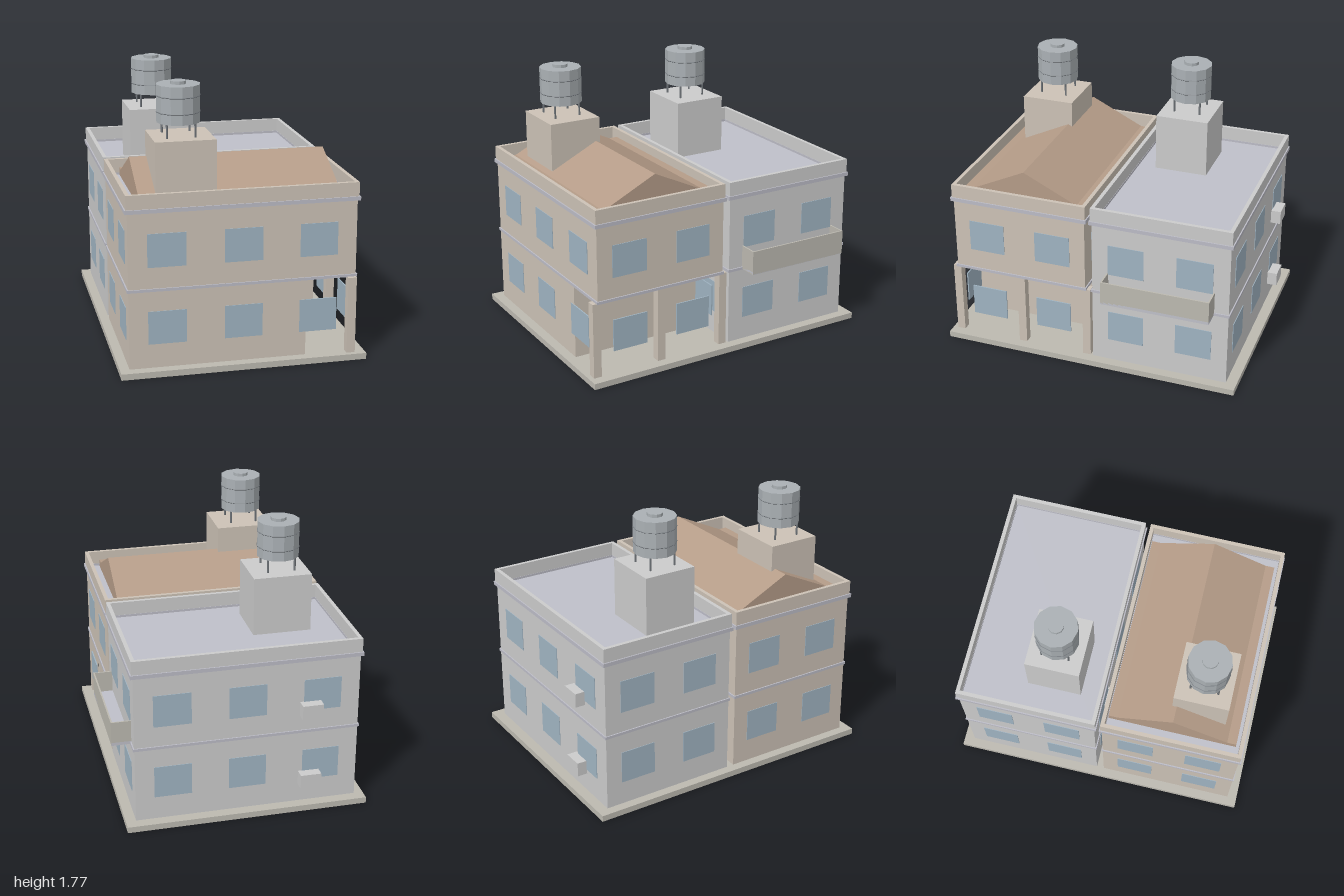
import * as THREE from 'three';

const mat = (color) => new THREE.MeshStandardMaterial({ color, flatShading: true });
const M = {
  base: mat(0xbcb9b0), beige: mat(0xccc2b6), grey: mat(0xcccccc), trim: mat(0xbcbcc6), deck: mat(0xbfc0c9),
  tile: mat(0xb59c88), glass: mat(0xa0b4c2), tank: mat(0xaab0b4), metal: mat(0x70757a),
};

// Box given by its limits on each axis
function box(parent, name, m, x0, x1, y0, y1, z0, z1) {
  const mesh = new THREE.Mesh(new THREE.BoxGeometry(x1 - x0, y1 - y0, z1 - z0), m);
  mesh.position.set((x0 + x1) / 2, (y0 + y1) / 2, (z0 + z1) / 2);
  mesh.name = name;
  parent.add(mesh);
  return mesh;
}

function cylinder(parent, name, m, r, y0, y1, x, z, sides) {
  const mesh = new THREE.Mesh(new THREE.CylinderGeometry(r, r, y1 - y0, sides), m);
  mesh.position.set(x, (y0 + y1) / 2, z);
  mesh.name = name;
  parent.add(mesh);
}

const X0 = -0.755, X1 = 0.685, ROOF = 1.04;

// Rectangular rim of walls, outer limits grown by o
function rim(parent, name, m, y0, y1, z0, z1, o, t) {
  const s = new THREE.Shape([[X0 - o, z0 - o], [X1 + o, z0 - o], [X1 + o, z1 + o], [X0 - o, z1 + o]]
    .map(([x, z]) => new THREE.Vector2(x, -z)));
  const i = t - o;
  s.holes.push(new THREE.Path([[X0 + i, z0 + i], [X0 + i, z1 - i], [X1 - i, z1 - i], [X1 - i, z0 + i]]
    .map(([x, z]) => new THREE.Vector2(x, -z))));
  const g = new THREE.ExtrudeGeometry(s, { depth: y1 - y0, bevelEnabled: false });
  g.rotateX(-Math.PI / 2);
  const mesh = new THREE.Mesh(g, m);
  mesh.position.y = y0;
  mesh.name = name;
  parent.add(mesh);
}

// Water tank on four legs above a stair tower
function waterTower(parent, m, x, z) {
  const g = new THREE.Group();
  g.name = 'waterTower';
  box(g, 'stairTower', m, x - 0.178, x + 0.202, ROOF, 1.43, z - 0.177, z + 0.177);
  for (const sx of [-1, 1]) for (const sz of [-1, 1])
    cylinder(g, 'tankLeg', M.metal, 0.007, 1.43, 1.515, x + sx * 0.088, z + sz * 0.088, 6);
  cylinder(g, 'tank', M.tank, 0.137, 1.515, 1.75, x, z, 12);
  cylinder(g, 'tankLid', M.tank, 0.05, 1.75, 1.77, x, z, 10);
  for (const y of [1.58, 1.68]) {
    const hoop = new THREE.Mesh(new THREE.TorusGeometry(0.136, 0.004, 4, 12), M.metal);
    hoop.rotation.x = Math.PI / 2;
    hoop.position.set(x, y, z);
    hoop.name = 'tankHoop';
    g.add(hoop);
  }
  parent.add(g);
}

// Shared two-storey block; groundX1 is where the ground floor ends
function building(name, m, z0, z1, groundX1, tankZ) {
  const g = new THREE.Group();
  g.name = name;
  box(g, 'groundFloor', m, X0, groundX1, 0.04, 0.54, z0, z1);
  box(g, 'upperFloor', m, X0, X1, 0.54, ROOF, z0, z1);
  box(g, 'floorBand', M.trim, X0 - 0.008, X1 + 0.008, 0.537, 0.555, z0 - 0.008, z1 + 0.008);
  box(g, 'roofDeck', M.deck, X0 + 0.01, X1 - 0.01, ROOF - 0.01, ROOF + 0.005, z0 + 0.01, z1 - 0.01);
  rim(g, 'cornice', M.trim, 1.035, 1.06, z0, z1, 0.016, 0.035);
  rim(g, 'parapet', m, 1.06, 1.15, z0, z1, 0.008, 0.025);
  const mid = (z0 + z1) / 2, e = 0.004;
  for (const y of [0.195, 0.69]) {
    // windows on the long and short walls
    for (const x of [-0.515, -0.035, 0.443]) for (const z of [z0, z1])
      box(g, 'window', M.glass, x - 0.12, x + 0.12, y, y + 0.213, z - e, z + e);
    for (const s of [-1, 1]) for (const x of [X0, X1])
      box(g, 'window', M.glass, x - e, x + e, y, y + 0.213, mid + s * 0.228 - 0.12, mid + s * 0.228 + 0.12);
    // air conditioner on the back wall
    box(g, 'airConditioner', M.grey, -0.505, -0.37, y - 0.03, y + 0.063, z0 - 0.067, z0);
  }
  waterTower(g, m, -0.378, tankZ);
  return g;
}

export function createModel() {
  const model = new THREE.Group();
  model.name = 'twinHouses';
  box(model, 'baseSlab', M.base, -0.815, 0.75, 0, 0.04, -1, 1);

  // Front house with a side porch and a pitched roof
  const front = building('frontHouse', M.beige, 0.03, 0.935, 0.365, 0.623);
  for (const z of [0.025, 0.483, 0.942])
    box(front, 'porchPost', M.beige, 0.628, 0.683, 0.04, 0.54, z - 0.027, z + 0.027);
  box(front, 'roofBase', M.tile, -0.665, 0.595, ROOF, 1.097, 0.055, 0.895);
  const gable = new THREE.Shape([new THREE.Vector2(-0.36, 0), new THREE.Vector2(0.36, 0), new THREE.Vector2(0, 0.173)]);
  const roof = new THREE.Mesh(new THREE.ExtrudeGeometry(gable, { depth: 1.26, bevelEnabled: false }), M.tile);
  roof.rotation.y = Math.PI / 2;
  roof.position.set(-0.665, 1.097, 0.475);
  roof.name = 'gableRoof';
  front.add(roof);
  model.add(front);

  // Back house with a walled balcony
  const back = building('backHouse', M.grey, -0.93, -0.02, X1, -0.335);
  box(back, 'balconyFloor', M.deck, X1, 0.81, 0.54, 0.56, -0.835, -0.12);
  box(back, 'balconyFront', M.base, 0.8, 0.81, 0.54, 0.7, -0.835, -0.12);
  for (const z of [-0.835, -0.13]) box(back, 'balconyEnd', M.base, X1, 0.8, 0.54, 0.7, z, z + 0.01);
  model.add(back);
  return model;
}
